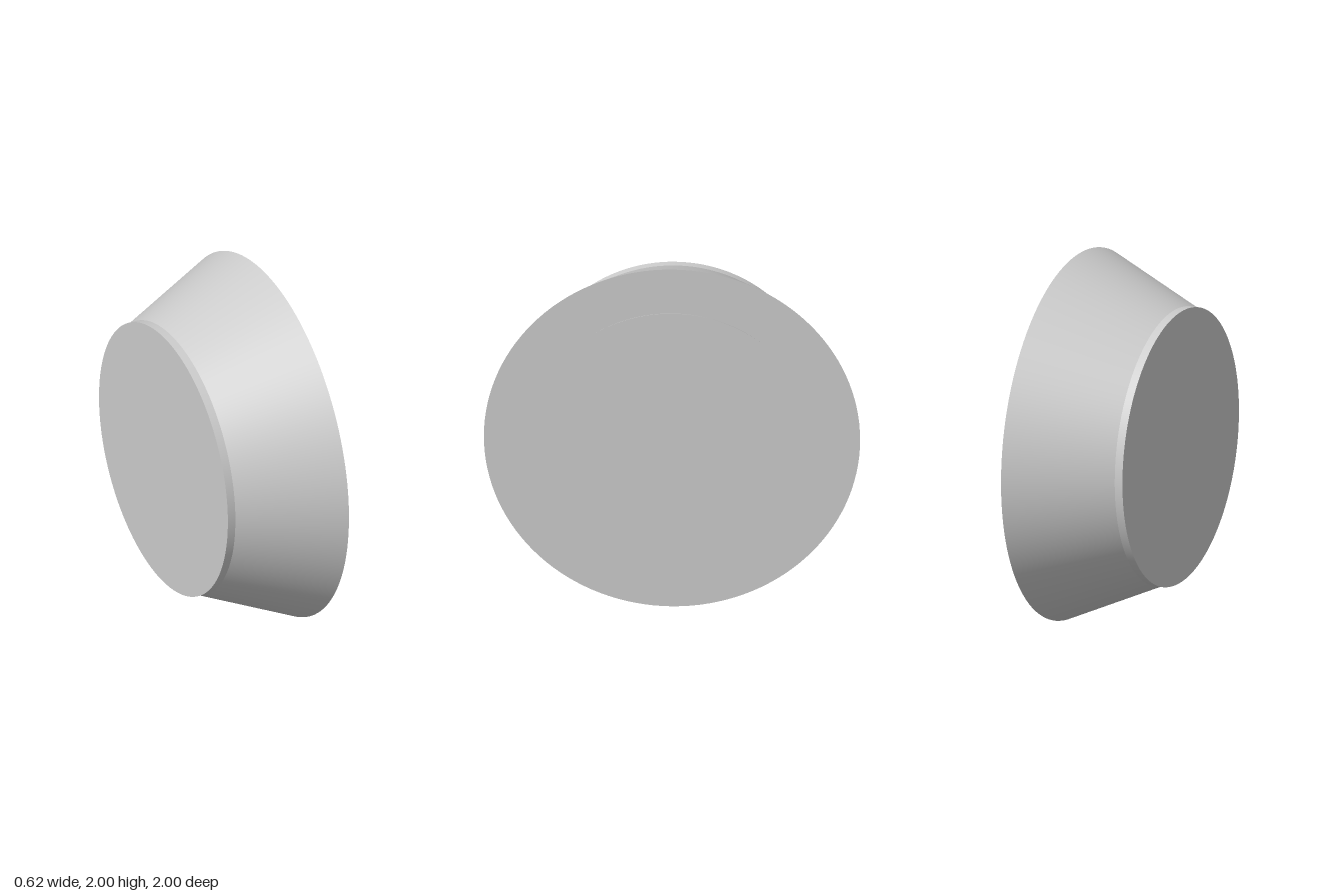
import * as THREE from 'three';
import { mergeGeometries } from 'three/addons/utils/BufferGeometryUtils.js';

const SEGMENTS = 128;

// Turn a profile of [radius, x] points about the x axis, with a sharp edge at every point.
function turned(profile) {
  const bands = [];
  for (let i = 0; i < profile.length - 1; i++) {
    const pair = [profile[i], profile[i + 1]].map(([r, x]) => new THREE.Vector2(r, x));
    bands.push(new THREE.LatheGeometry(pair, SEGMENTS));
  }
  return mergeGeometries(bands).rotateZ(-Math.PI / 2);
}

export function createModel() {
  const group = new THREE.Group();
  group.name = 'flaredDisc';

  const grey = new THREE.MeshStandardMaterial({ color: 0xcccccc });
  grey.name = 'lightGrey';

  const parts = {
    // flat end with its short straight collar
    collar: [[0, -0.31], [0.75, -0.31], [0.75, -0.265]],
    // cone widening to the rim, then the flat ring inside the rim
    flaredBody: [[0.75, -0.265], [1, 0.285], [0.74, 0.285]],
    // slightly undercut raised plate on the wide end
    raisedPlate: [[0.74, 0.285], [0.75, 0.31], [0, 0.31]],
  };

  for (const [name, profile] of Object.entries(parts)) {
    const mesh = new THREE.Mesh(turned(profile), grey);
    mesh.name = name;
    mesh.position.y = 1;
    group.add(mesh);
  }
  return group;
}
